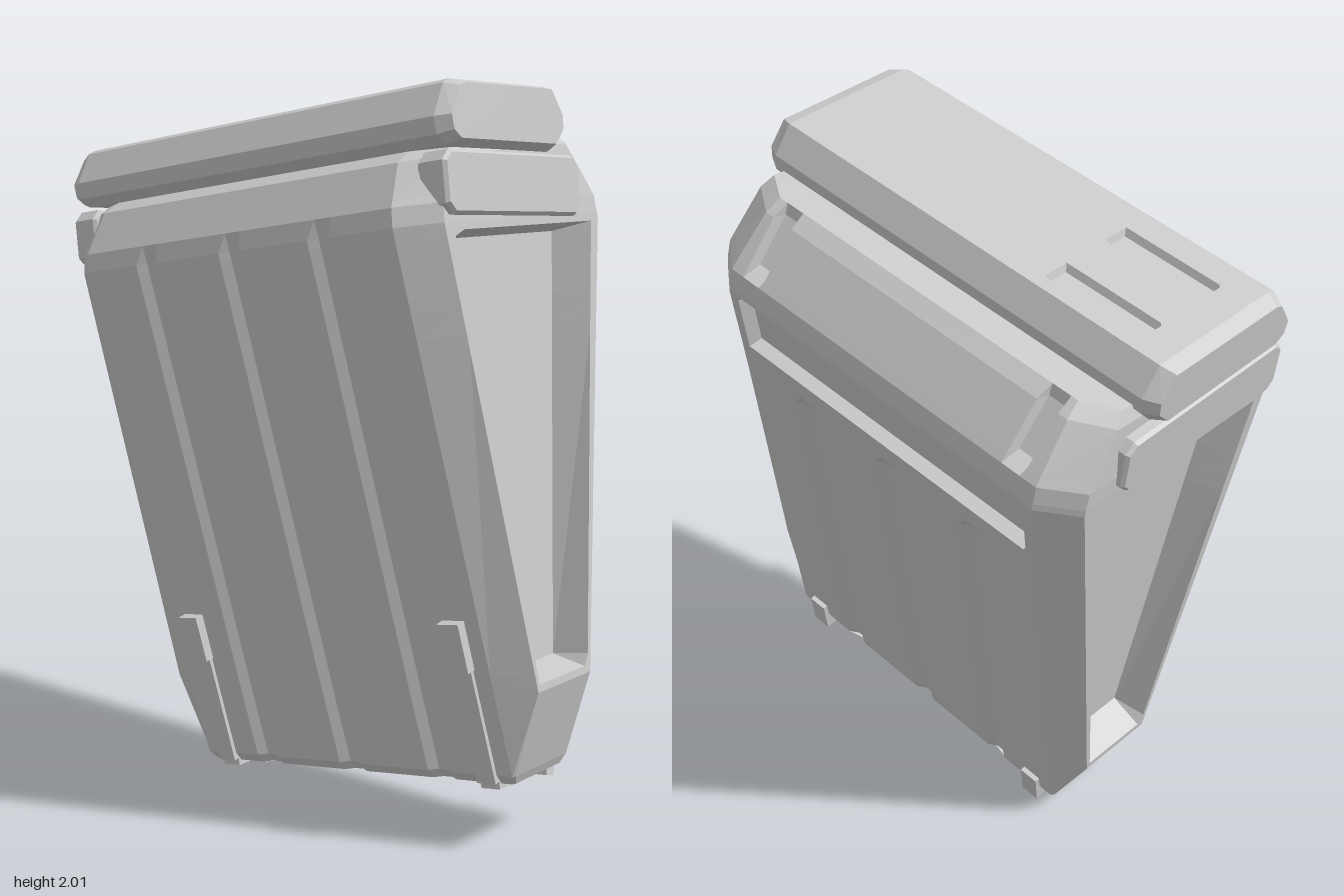
import * as THREE from 'three';

const material = new THREE.MeshStandardMaterial({ color: 0xcccccc, flatShading: true });

// Skin a list of equal-length rings of [x, y, z] points and close both ends.
function loft(rings) {
  const n = rings[0].length, pos = [], idx = [];
  rings.forEach(r => r.forEach(p => pos.push(...p)));
  for (let k = 0; k < rings.length - 1; k++) {
    for (let i = 0; i < n; i++) {
      const a = k * n + i, b = k * n + (i + 1) % n;
      idx.push(a, b, b + n, a, b + n, a + n);
    }
  }
  [0, rings.length - 1].forEach(k => {
    const c = pos.length / 3, ring = rings[k];
    pos.push(...[0, 1, 2].map(j => ring.reduce((s, p) => s + p[j], 0) / n));
    for (let i = 0; i < n; i++) {
      const a = k * n + i, b = k * n + (i + 1) % n;
      k ? idx.push(c, a, b) : idx.push(c, b, a);
    }
  });
  const g = new THREE.BufferGeometry();
  g.setAttribute('position', new THREE.Float32BufferAttribute(pos, 3));
  g.setIndex(idx);
  g.computeVertexNormals();
  return g;
}

function part(parent, name, geometry, position = [0, 0, 0], rotX = 0) {
  const m = new THREE.Mesh(geometry, material);
  m.name = name;
  m.position.set(...position);
  m.rotation.x = rotX;
  parent.add(m);
  return m;
}

// Body outline by height: y, front z, back z, half width, corner cut in x, corner cut in z, slope
const KEYS = [
  [0.085, 0.165, -0.065, 0.535, 0.005, 0.01, 0],
  [0.11, 0.183, -0.08, 0.55, 0.005, 0.01, 0],
  [0.335, 0.224, -0.137, 0.646, 0.1, 0.055, 0],
  [1.53, 0.432, -0.435, 0.646, 0.1, 0.08, 0],
  [1.55, 0.435, -0.435, 0.646, 0.1, 0.08, 0],
  [1.6, 0.428, -0.43, 0.644, 0.1, 0.08, 0],
  [1.73, 0.36, -0.33, 0.628, 0.1, 0.07, 0.05],
  [1.765, 0.28, -0.29, 0.61, 0.09, 0.06, 0.05],
];
function outlineAt(y) {
  let i = 0;
  while (i < KEYS.length - 2 && y > KEYS[i + 1][0]) i++;
  const a = KEYS[i], b = KEYS[i + 1], t = (y - a[0]) / (b[0] - a[0]);
  return a.map((v, j) => v + (b[j] - v) * t);
}

const GROOVES = [-0.31, 0, 0.31];
const grooveColumns = GROOVES.flatMap(g => [g - 0.04, g - 0.015, g + 0.015, g + 0.04]);
const inGroove = x => GROOVES.some(g => Math.abs(x - g) < 0.02);
const sideColumns = [0.431, 0.439, 0.491, 0.499, 0.507, 0.515];
const backColumns = [...sideColumns.map(x => -x), ...grooveColumns, ...sideColumns].sort((a, b) => b - a);

// How far the back surface is sunk: wide slot, grooves, and the two upper notches
function backDepth(x, y) {
  const ax = Math.abs(x), e = 1e-6;
  if (y > 1.345 && y < 1.52 && ax < 0.508) return 0.04;
  if (y < 1.23 + e && inGroove(x)) return 0.018;
  if (y > 1.615 && y < 1.73 + e && ax > 0.435 && ax < 0.495) return 0.035;
  return 0;
}

function bodyRing(level) {
  const [y, zf, zb, half, cx, cz, slope] = outlineAt(level);
  const ring = [], flat = half - cx;
  const add = (x, z) => ring.push([x, y - slope * z, z]);
  add(-flat, zf);
  grooveColumns.forEach(x => add(x, zf - (inGroove(x) && y < 1.551 ? 0.018 : 0)));
  add(flat, zf);
  const end = [0, 0.05, 0.11, 0.89, 0.95, 1].map(t => {
    const sunk = t > 0.1 && t < 0.9 && y > 0.38 && y < 1.516;
    return [half - (sunk ? 0.1 : 0), zf - cz + (zb - zf + 2 * cz) * t];
  });
  end.forEach(([x, z]) => add(x, z));
  add(flat, zb);
  backColumns.forEach(x => add(x, zb + backDepth(x, y)));
  add(-flat, zb);
  end.reverse().forEach(([x, z]) => add(-x, z));
  return ring;
}

function bodyGeometry() {
  const levels = [0.085, 0.11, 0.335, 0.355, 0.385, 1.23, 1.27, 1.335, 1.35,
    1.515, 1.53, 1.55, 1.6, 1.62, 1.73, 1.765];
  return loft(levels.map(bodyRing));
}

// Lid: a bevelled bar along x with two slots sunk in its top
function lidGeometry() {
  const rim = [[0.265, 1.903], [0.29, 1.893], [0.345, 1.81], [0.34, 1.765], [0.31, 1.74],
    [-0.15, 1.72], [-0.195, 1.765], [-0.2, 1.81], [-0.155, 1.89]];
  const slots = [-0.075, 0.15];
  const columns = slots.flatMap(c => [c - 0.042, c - 0.034, c + 0.034, c + 0.042]);
  const sections = [[-0.677, 0, 0.84], [-0.635, 0, 1], [-0.545, 0, 1], [-0.537, 0.02, 1],
    [-0.243, 0.02, 1], [-0.235, 0, 1], [0.64, 0, 1], [0.68, 0, 0.84]];
  return loft(sections.map(([x, depth, s]) => {
    const top = columns.map(z => {
      const sunk = slots.some(c => Math.abs(z - c) < 0.038);
      return [z, 1.89 + 0.013 * (z + 0.155) / 0.42 - (sunk ? depth : 0)];
    });
    return [...rim, ...top].map(([z, y]) => [x, 1.81 + (y - 1.81) * s, 0.07 + (z - 0.07) * (s + 1) / 2]);
  }));
}

// End catch plate with cut corners, lying in the z-y plane
function catchGeometry() {
  const w = 0.295, h = 0.072, c = 0.022;
  const shape = new THREE.Shape([[-w + c, -h], [w - c, -h], [w, -h + c], [w, h - c],
    [w - c, h], [-w + c, h], [-w, h - c], [-w, -h + c]].map(p => new THREE.Vector2(...p)));
  return new THREE.ExtrudeGeometry(shape, {
    depth: 0.07, bevelThickness: 0.01, bevelSize: 0.008, bevelSegments: 1,
  }).translate(0, 0, -0.035).rotateY(Math.PI / 2);
}

export function createModel() {
  const model = new THREE.Group();
  model.name = 'taperedCase';
  const tilted = new THREE.Group();
  tilted.name = 'tiltedCase';
  tilted.rotation.z = 0.145;
  model.add(tilted);
  const parts = new THREE.Group();
  parts.name = 'caseParts';
  parts.position.x = 0.173;
  tilted.add(parts);

  part(parts, 'body', bodyGeometry());
  part(parts, 'lid', lidGeometry());

  const lean = Math.atan(0.176);
  for (const s of [-1, 1]) {
    part(parts, 'endCatch', catchGeometry(), [s * 0.622, 1.637, 0.052], -0.04);

    // Clip: raised block, strip below it, strap under the base and hook at the back
    const clip = new THREE.Group();
    clip.name = 'clip';
    clip.position.x = s * 0.466;
    parts.add(clip);
    part(clip, 'clipBlock', new THREE.BoxGeometry(0.07, 0.135, 0.06), [0, 0.472, 0.247], lean);
    part(clip, 'clipStrip', new THREE.BoxGeometry(0.06, 0.32, 0.04), [0, 0.25, 0.2], lean);
    part(clip, 'clipStrap', new THREE.BoxGeometry(0.06, 0.03, 0.23), [0, 0.086, 0.06]);
    part(clip, 'clipHook', new THREE.BoxGeometry(0.06, 0.11, 0.035), [0, 0.1, -0.075], -0.245);
  }
  return model;
}
